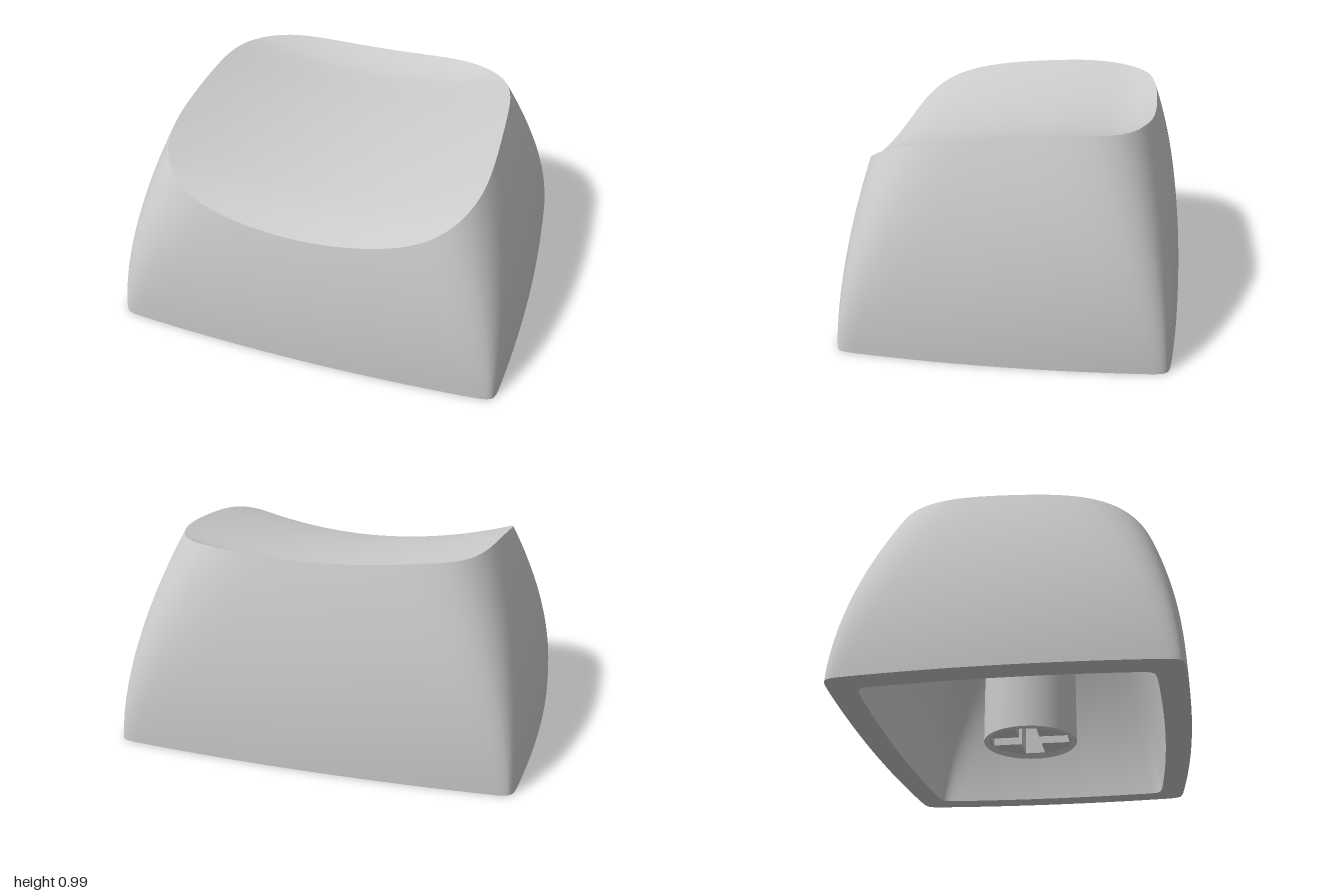
import * as THREE from 'three';

const grey = new THREE.MeshStandardMaterial({ color: 0xcccccc });
const greyThin = new THREE.MeshStandardMaterial({ color: 0xcccccc, side: THREE.DoubleSide });
const SIDE = 36; // segments along each of the four sides

// centre line of the dished top, as [z, y]
const crown = [[-0.82, 1.1], [-0.64, 0.955], [-0.6, 0.932], [-0.55, 0.908], [-0.46, 0.889], [-0.2, 0.876],
  [0, 0.861], [0.2, 0.84], [0.4, 0.81], [0.53, 0.782], [0.62, 0.75], [0.71, 0.7], [0.82, 0.61]];

function crownHeight(z) {
  let i = 0;
  while (i < crown.length - 2 && z > crown[i + 1][0]) i++;
  const slope = (j) => {
    const a = crown[Math.max(j - 1, 0)], b = crown[Math.min(j + 1, crown.length - 1)];
    return (b[1] - a[1]) / (b[0] - a[0]);
  };
  const [z0, y0] = crown[i], [z1, y1] = crown[i + 1], d = z1 - z0;
  const t = Math.min(Math.max((z - z0) / d, 0), 1), t2 = t * t, t3 = t2 * t;
  return y0 * (2 * t3 - 3 * t2 + 1) + y1 * (3 * t2 - 2 * t3)
    + d * (slope(i) * (t3 - 2 * t2 + t) + slope(i + 1) * (t3 - t2));
}
const topHeight = (x, z) => crownHeight(z) + 0.2 * x * x;

// largest value in [lo, hi] for which the test is true
function bisect(lo, hi, test) {
  for (let i = 0; i < 32; i++) {
    const mid = (lo + hi) / 2;
    if (test(mid)) lo = mid; else hi = mid;
  }
  return lo;
}

// point on the bowed, rounded rectangle at height y; corners soften upward
function section([dx, dz], y, inset) {
  const hx = 1 - 0.245 * y * y - inset, hz = 0.79 - 0.163 * y * y - inset;
  const n = 1 / (0.025 + 0.205 * Math.pow(y, 1.3));
  const k = bisect(0, 2, (s) => {
    const x = Math.abs(dx * s), z = Math.abs(dz * s);
    return Math.pow((x + 0.07 * z * z) / hx, n) + Math.pow((z + 0.044 * x * x) / hz, n) < 1;
  });
  return new THREE.Vector3(dx * k, y, dz * k);
}

// directions around the plan, packed closer at the corners
function directions(inset) {
  const X = 0.955 - inset, Z = 0.75 - inset, list = [];
  for (let side = 0; side < 4; side++) {
    for (let i = 0; i < SIDE; i++) {
      const v = Math.sin((Math.PI / 2) * (-1 + (2 * i) / SIDE));
      list.push([[X, Z * v], [-X * v, Z], [-X, -Z * v], [X * v, -Z]][side]);
    }
  }
  return list;
}

// surface through a stack of closed rings
function loft(rings) {
  const n = rings[0].length, pos = [], index = [];
  rings.forEach((ring) => ring.forEach((p) => pos.push(p.x, p.y, p.z)));
  for (let r = 0; r < rings.length - 1; r++) {
    for (let i = 0; i < n; i++) {
      const j = (i + 1) % n, a = r * n + i, b = r * n + j;
      index.push(a, a + n, b, b, a + n, b + n);
    }
  }
  const geo = new THREE.BufferGeometry();
  geo.setAttribute('position', new THREE.Float32BufferAttribute(pos, 3));
  geo.setIndex(index);
  geo.computeVertexNormals();
  return geo;
}

// wall rings from the base to the trimmed edge, and cap rings from the edge to the middle
function shell(inset, drop) {
  const dirs = directions(inset), wall = [], cap = [];
  const height = (p) => topHeight(p.x, p.z) - drop;
  const edgeY = dirs.map((d) => bisect(0, 1.1, (y) => y < height(section(d, y, inset))));
  for (let r = 0; r <= 28; r++) wall.push(dirs.map((d, i) => section(d, (edgeY[i] * r) / 28, inset)));
  const edge = wall[28];
  for (let r = 0; r <= 30; r++) {
    cap.push(edge.map((e) => {
      const p = e.clone().multiplyScalar(1 - r / 30);
      p.y = height(p);
      return p;
    }));
  }
  return { wall, cap };
}

export function createModel() {
  const model = new THREE.Group();
  const add = (name, geo, mat = grey, parent = model) => {
    const mesh = new THREE.Mesh(geo, mat);
    mesh.name = name;
    parent.add(mesh);
    return mesh;
  };

  // hollow cap
  const outer = shell(0, 0), inner = shell(0.125, 0.14);
  add('outerWall', loft(outer.wall));
  add('dishedTop', loft(outer.cap));
  add('innerWall', loft([...inner.wall].reverse()), greyThin);
  add('innerCeiling', loft([...inner.cap].reverse()), greyThin);
  add('bottomRim', loft([inner.wall[0], outer.wall[0]]), greyThin);

  // round stem with a chamfered mouth
  const stem = new THREE.Group();
  stem.name = 'stem';
  model.add(stem);
  const profile = [[0.205, 0.04], [0.222, 0.02], [0.222, 0.02], [0.231, 0.03], [0.231, 0.03], [0.231, 0.77]]
    .map(([x, y]) => new THREE.Vector2(x, y));
  add('stemSleeve', new THREE.LatheGeometry(profile, 48), greyThin, stem);

  // core with a cross-shaped socket
  const core = new THREE.Shape().absarc(0, 0, 0.206, 0, Math.PI * 2);
  const L = 0.19, w = 0.05;
  const cross = [[L, -w], [L, w], [w, w], [w, L], [-w, L], [-w, w], [-L, w], [-L, -w], [-w, -w], [-w, -L], [w, -L], [w, -w]];
  core.holes.push(new THREE.Path(cross.map(([x, y]) => new THREE.Vector2(x, y))));
  const coreGeo = new THREE.ExtrudeGeometry(core, { depth: 0.46, bevelEnabled: false, curveSegments: 24 });
  coreGeo.rotateX(-Math.PI / 2).translate(0, 0.04, 0);
  add('crossSocket', coreGeo, grey, stem);
  add('socketFloor', new THREE.CylinderGeometry(0.206, 0.206, 0.27, 32).translate(0, 0.635, 0), grey, stem);

  // small rib bracing the stem
  add('stemRib', new THREE.BoxGeometry(0.3, 0.36, 0.06).translate(0.36, 0.57, 0), grey, stem);
  return model;
}
